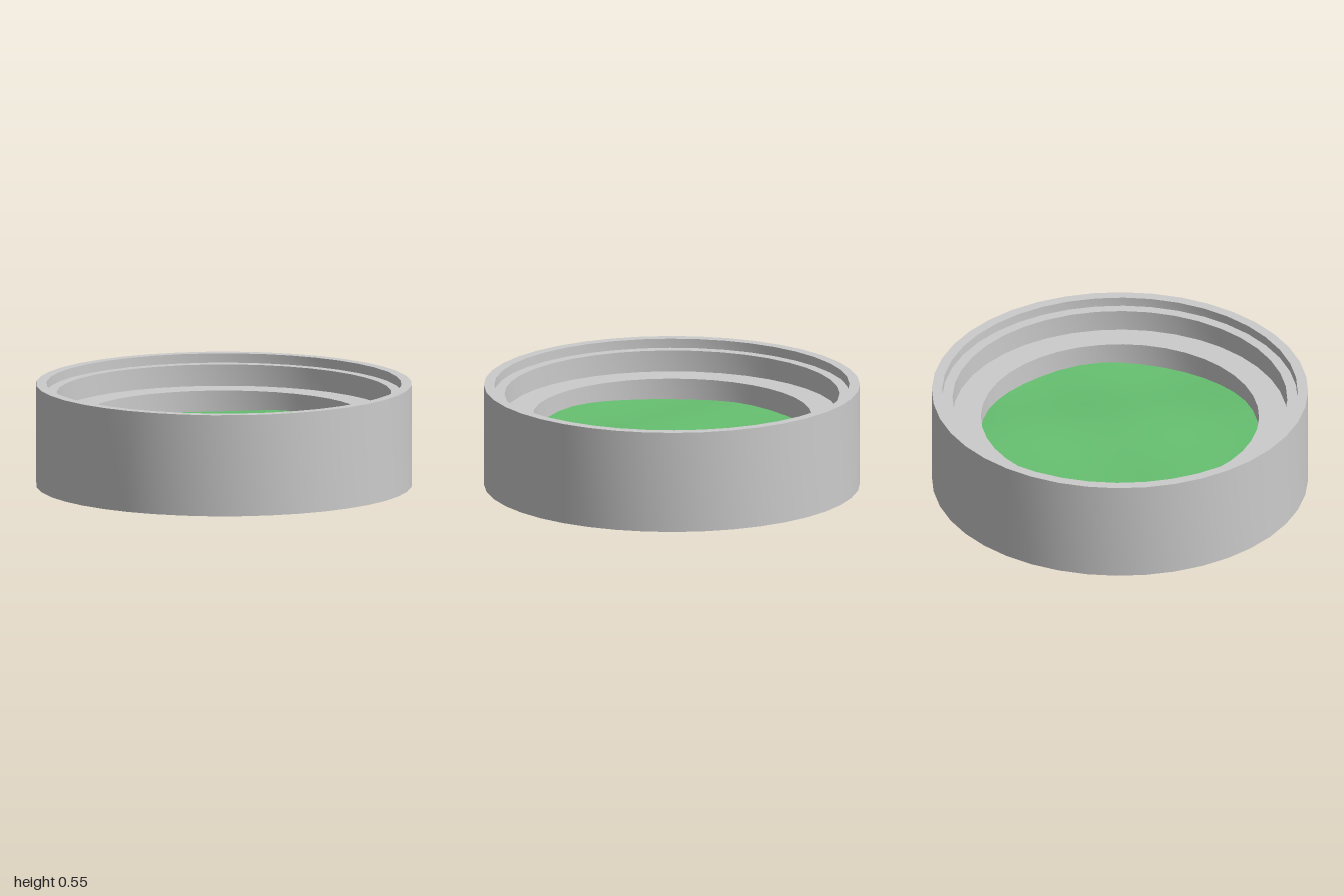
import * as THREE from 'three';
import { toCreasedNormals } from 'three/addons/utils/BufferGeometryUtils.js';

const HEIGHT = 0.545;
const WELL = 0.74;

// Revolved profile with smooth curved walls and sharp rims.
function ring(name, points, sides, material) {
  const profile = points.map(([r, y]) => new THREE.Vector2(r, y));
  const geometry = new THREE.LatheGeometry(profile, sides);
  const mesh = new THREE.Mesh(toCreasedNormals(geometry, Math.PI / 6), material);
  mesh.name = name;
  return mesh;
}

// Gentle ripples of the filling.
function rippleHeight(x, z) {
  return 0.272
    + 0.009 * Math.sin(6.5 * x + 2.5 * z + 0.4) * Math.cos(5.5 * z - 1.5 * x)
    + 0.009 * Math.cos(4.4 * x - 1.2 * z);
}

function filling(material) {
  const geometry = new THREE.RingGeometry(0, WELL, 40, 14);
  geometry.rotateX(-Math.PI / 2);
  const p = geometry.attributes.position;
  for (let i = 0; i < p.count; i++) p.setY(i, rippleHeight(p.getX(i), p.getZ(i)));
  // Normals follow the slope of the ripples, so the surface has no seam.
  const e = 0.01, n = new THREE.Vector3();
  for (let i = 0; i < p.count; i++) {
    const x = p.getX(i), z = p.getZ(i);
    n.set(rippleHeight(x - e, z) - rippleHeight(x + e, z), 2 * e,
      rippleHeight(x, z - e) - rippleHeight(x, z + e)).normalize();
    geometry.attributes.normal.setXYZ(i, n.x, n.y, n.z);
  }
  const mesh = new THREE.Mesh(geometry, material);
  mesh.name = 'filling';
  return mesh;
}

export function createModel() {
  const group = new THREE.Group();
  group.name = 'dish';
  const grey = new THREE.MeshStandardMaterial({ color: 0xcccccc, side: THREE.DoubleSide });
  const green = new THREE.MeshStandardMaterial({ color: 0x66c070, side: THREE.DoubleSide });

  // Closed base, outer wall, stepped rim, ledge and inner well in one profile
  group.add(ring('stepped bowl', [
    [0, 0], [1, 0], [1, HEIGHT],
    [0.945, HEIGHT], [0.945, 0.495],
    [0.89, 0.495], [0.89, 0.38],
    [WELL, 0.38], [WELL, 0.23],
  ], 40, grey));

  group.add(filling(green));
  return group;
}
